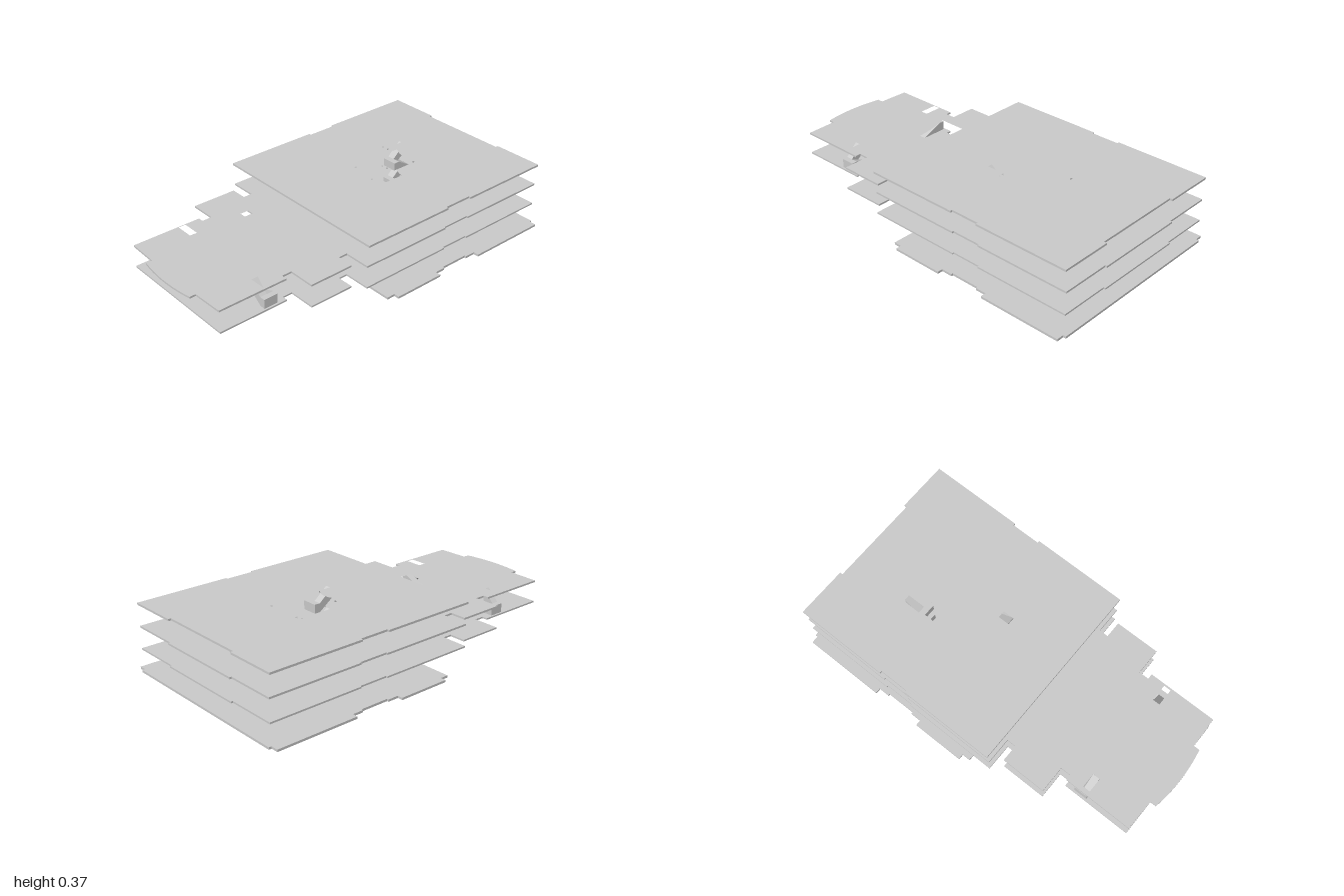
import * as THREE from 'three';

const mat = new THREE.MeshStandardMaterial({ color: 0xcccccc, flatShading: true });

// Points for one half of an outline, completed by mirroring across z = 0
const mirrored = (half) => [...half, ...half.slice().reverse().map(([x, z]) => [x, -z])];

// Points along a shallow bow between two ends, with its middle at xm
function bow(x0, z0, xm, x1, z1, n = 10) {
  const pts = [];
  for (let i = 0; i <= n; i++) {
    const t = i / n;
    const bulge = xm - (x0 + x1) / 2;
    pts.push([x0 + (x1 - x0) * t + bulge * 4 * t * (1 - t), z0 + (z1 - z0) * t]);
  }
  return pts;
}

const toVectors = (pts, s = 1) => pts.map(([a, b]) => new THREE.Vector2(a, s * b));

function addMesh(parent, name, geometry) {
  const mesh = new THREE.Mesh(geometry, mat);
  mesh.name = name;
  parent.add(mesh);
}

// Horizontal plate from [x, z] points
function slab(parent, name, outline, holes, y, height) {
  const shape = new THREE.Shape(toVectors(outline, -1));
  for (const h of holes) shape.holes.push(new THREE.Path(toVectors(h, -1)));
  const g = new THREE.ExtrudeGeometry(shape, { depth: height, bevelEnabled: false });
  addMesh(parent, name, g.rotateX(-Math.PI / 2).translate(0, y, 0));
}

// Solid with an [x, y] profile, spanning z0..z1
function prismAlongZ(parent, name, pts, z0, z1) {
  const g = new THREE.ExtrudeGeometry(new THREE.Shape(toVectors(pts)), { depth: z1 - z0, bevelEnabled: false });
  addMesh(parent, name, g.translate(0, 0, z0));
}

// Solid with a [z, y] profile, spanning x0..x1
function prismAlongX(parent, name, pts, x0, x1) {
  const g = new THREE.ExtrudeGeometry(new THREE.Shape(toVectors(pts)), { depth: x1 - x0, bevelEnabled: false });
  addMesh(parent, name, g.rotateY(-Math.PI / 2).translate(x1, 0, 0));
}

// Half-turn stair: landing at xl, flights reaching to xe, upper flight nearer zu
function turningStair(parent, name, xl, xe, zu, zm, zl, y0, ym, y1) {
  const stair = new THREE.Group();
  stair.name = name;
  const d = Math.sign(xe - xl);
  const xi = xl + 0.033 * d;
  const span = (a, b) => [Math.min(a, b), Math.max(a, b)];
  prismAlongZ(stair, 'landing', [[xl, y0], [xi, y0], [xi, ym], [xl, ym]], ...span(zu, zl));
  prismAlongZ(stair, 'lowerFlight', [[xi, y0], [xe, y0], [xi, ym]], ...span(zm, zl));
  prismAlongZ(stair, 'upperFlight', [[xi, y0], [xi, ym], [xe, y1], [xe, y1 - 0.055]], ...span(zu, zm));
  parent.add(stair);
}

export function createModel() {
  const model = new THREE.Group();
  model.name = 'stackedFloors';
  const T = 0.011;

  // Ground plate with two shallow bays on each long side
  slab(model, 'groundFloor', mirrored([
    [-0.085, -0.53], [-0.04, -0.53], [-0.04, -0.56], [0.25, -0.56], [0.25, -0.53], [0.31, -0.53],
    [0.31, -0.52], [0.47, -0.52], [0.47, -0.53], [0.53, -0.53], [0.53, -0.56], [0.985, -0.56],
    [0.985, -0.52], [1, -0.52]]), [], 0, 0.012);

  // Wing steps and main block shared by the two middle floors
  const wing = [[-0.945, -0.35], [-0.565, -0.35], [-0.565, -0.32], [-0.51, -0.32], [-0.51, -0.465],
    [-0.265, -0.465], [-0.265, -0.375], [-0.215, -0.375], [-0.215, -0.52], [0.31, -0.52],
    [0.31, -0.512], [0.47, -0.512], [0.47, -0.52], [0.99, -0.52], [0.99, -0.25], [1, -0.25]];
  slab(model, 'firstFloor', mirrored(wing), [], 0.119, 0.009);

  // Central opening joined to its two stair slots
  const atrium = [
    [0.255, -0.155], [0.52, -0.155], [0.52, -0.165], [0.635, -0.165], [0.635, -0.125], [0.52, -0.125],
    [0.52, -0.08], [0.545, -0.08], ...bow(0.545, -0.07, 0.52, 0.545, 0.06), [0.545, 0.07], [0.52, 0.07],
    [0.52, 0.145], [0.255, 0.145], [0.255, 0.11], [0.14, 0.11], [0.14, 0.07], [0.23, 0.07],
    ...bow(0.23, 0.06, 0.255, 0.23, -0.07), [0.23, -0.08], [0.255, -0.08]];

  // Second floor with bowed end, wing void and wing stair slots
  const wingVoid = [...bow(-0.51, 0.175, -0.485, -0.53, -0.25), [-0.265, -0.25], [-0.265, -0.2],
    [-0.215, -0.2], [-0.215, 0.175]];
  const slot = (z0, z1) => [[-0.69, z0], [-0.65, z0], [-0.65, z1], [-0.69, z1]];
  slab(model, 'secondFloor',
    [...bow(-0.983, 0.18, -1, -0.983, -0.18), [-0.95, -0.18], ...mirrored(wing), [-0.95, 0.18]],
    [wingVoid, slot(-0.35 + 0.005, -0.245), slot(0.245, 0.34), atrium], 0.237, 0.01);

  // Top plate
  slab(model, 'topFloor', mirrored([
    [-0.215, -0.53], [0.31, -0.53], [0.31, -0.518], [0.47, -0.518], [0.47, -0.53], [0.99, -0.53],
    [0.99, -0.25], [0.975, -0.25]]), [atrium], 0.354, T);

  // Thin raised platform on the first floor, and thin panel below it
  slab(model, 'platform', [[0, -0.07], [0.31, -0.07], [0.31, 0.15], [0, 0.15]], [], 0.128, 0.004);
  slab(model, 'ceilingPanel', [[-0.26, -0.26], [-0.08, -0.26], [-0.08, -0.11], [-0.26, -0.11]], [], 0.116, 0.003);

  // Central stairs on each storey
  for (const [y0, ym, y1] of [[0.012, 0.075, 0.12], [0.128, 0.178, 0.24], [0.247, 0.295, 0.358]]) {
    turningStair(model, 'frontStair', 0.255, 0.145, 0.073, 0.115, 0.158, y0, ym, y1);
    turningStair(model, 'backStair', 0.525, 0.635, -0.153, -0.112, -0.07, y0, ym - 0.005, y1);
  }

  // Lift enclosure
  prismAlongZ(model, 'liftShaft', [[0.665, 0.128], [0.735, 0.128], [0.735, 0.24], [0.665, 0.24]], -0.19, -0.065);

  // Straight entrance stair
  prismAlongX(model, 'entranceStair', [[0.07, 0.012], [-0.11, 0.108], [-0.11, 0.12], [-0.15, 0.12], [-0.173, 0.012]], -0.072, -0.028);

  // Mirrored wing stairs
  for (const s of [1, -1]) {
    const stair = new THREE.Group();
    stair.name = s > 0 ? 'frontWingStair' : 'backWingStair';
    const side = (pts) => pts.map(([z, y]) => [s * z, y]);
    prismAlongX(stair, 'lowerFlight', side([[0.34, 0.128], [0.34, 0.178], [0.31, 0.178], [0.19, 0.128]]), -0.65, -0.612);
    prismAlongX(stair, 'upperFlight', side([[0.34, 0.128], [0.34, 0.178], [0.31, 0.178], [0.245, 0.242], [0.245, 0.178], [0.31, 0.128]]), -0.688, -0.65);
    model.add(stair);
  }
  return model;
}
